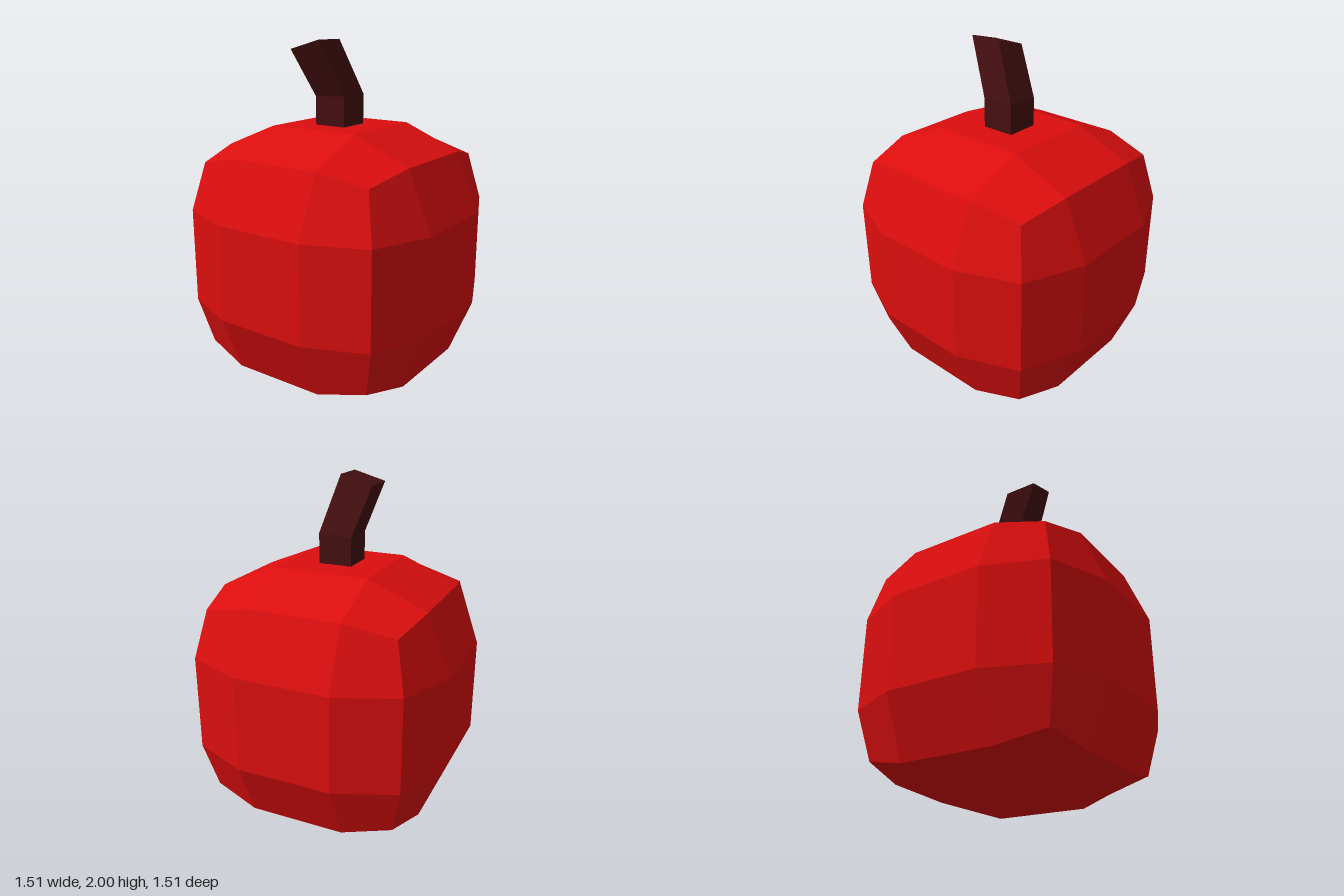
import * as THREE from 'three';

// Gives every four-sided facet one flat normal.
function facet(geometry) {
  const flat = geometry.toNonIndexed();
  flat.computeVertexNormals();
  const n = flat.attributes.normal;
  const sum = new THREE.Vector3(), v = new THREE.Vector3();
  for (let q = 0; q < n.count; q += 6) {
    sum.set(0, 0, 0);
    for (let i = q; i < q + 6; i++) sum.add(v.fromBufferAttribute(n, i));
    sum.normalize();
    for (let i = q; i < q + 6; i++) n.setXYZ(i, sum.x, sum.y, sum.z);
  }
  return flat;
}

function reshape(geometry, rule) {
  const p = geometry.attributes.position;
  const v = new THREE.Vector3();
  for (let i = 0; i < p.count; i++) {
    rule(v.fromBufferAttribute(p, i));
    p.setXYZ(i, v.x, v.y, v.z);
  }
  return facet(geometry);
}

export function createModel() {
  const red = new THREE.MeshStandardMaterial({ color: 0xdc0e0e });
  red.name = 'apple red';
  const brown = new THREE.MeshStandardMaterial({ color: 0x440f11 });
  brown.name = 'dark brown';

  // Fruit: a 3x3x3 box whose edges and corners are pulled inwards.
  const inner = 0.278;
  const outer = [0, 0.757, 0.618, 0.557]; // by number of outer axes: face, edge, corner
  const bodyGeometry = reshape(new THREE.BoxGeometry(3, 3, 3, 3, 3, 3), (v) => {
    const axes = v.toArray();
    const r = outer[axes.filter((a) => Math.abs(a) > 1).length];
    v.fromArray(axes.map((a) => Math.sign(a) * (Math.abs(a) > 1 ? r : inner)));
    v.y += 0.76;
  });
  const body = new THREE.Mesh(bodyGeometry, red);
  body.name = 'fruit';

  // Stem: a square post that bends to the right and back, with a tilted tip.
  const stemGeometry = reshape(new THREE.BoxGeometry(0.196, 2, 0.196, 1, 2, 1), (v) => {
    const front = v.z > 0;
    if (v.y > 0.5) {
      v.set(v.x - 0.153, front ? 2 : 1.947, front ? 0.028 : -0.162);
    } else {
      const y = v.y < -0.5 ? 1.5 : (front ? 1.69 : 1.68);
      v.set(v.x - 0.007, y, v.z - 0.003);
    }
  });
  const stem = new THREE.Mesh(stemGeometry, brown);
  stem.name = 'stem';

  const group = new THREE.Group();
  group.name = 'apple';
  group.add(body, stem);
  return group;
}
